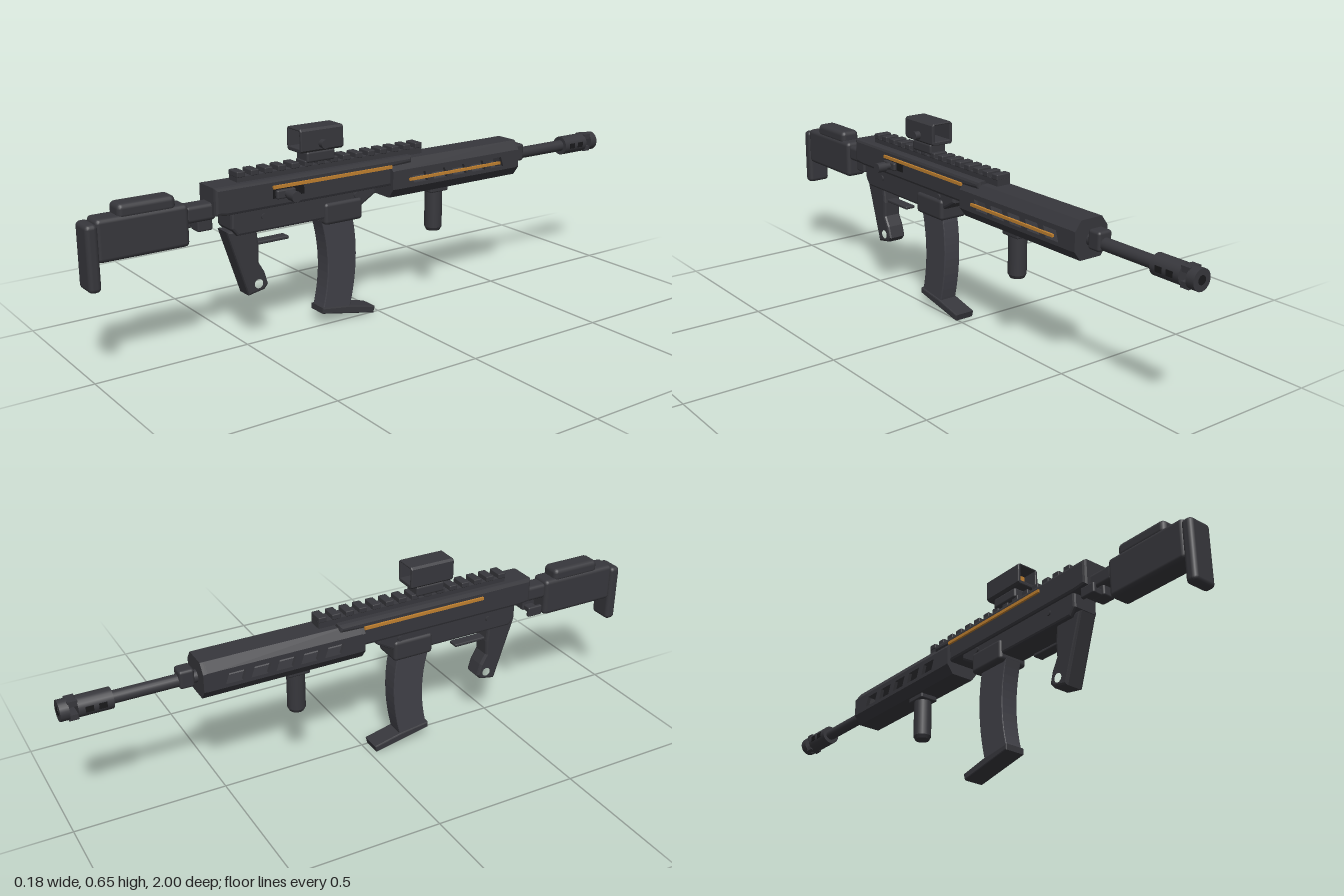
import * as THREE from 'three';
import { RoundedBoxGeometry } from 'three/addons/geometries/RoundedBoxGeometry.js';

const CX = -0.027; // centre plane of the body

export function createModel() {
  const root = new THREE.Group();
  const mat = (name, color) => {
    const m = new THREE.MeshStandardMaterial({ color });
    m.name = name;
    return m;
  };
  const body = mat('gunmetal', 0x37373c);
  const grey = mat('lighter grey', 0x404047);
  const black = mat('recess black', 0x19191b);
  const gold = mat('gold trim', 0xc0802f);

  const add = (name, geo, m = body) => {
    const mesh = new THREE.Mesh(geo, m);
    mesh.name = name;
    root.add(mesh);
    return mesh;
  };
  // Box from its limits on each axis, optionally rounded
  const box = (name, [x0, x1], [y0, y1], [z0, z1], r = 0, m = body) => {
    const s = [x1 - x0, y1 - y0, z1 - z0];
    const g = r ? new RoundedBoxGeometry(...s, 2, r) : new THREE.BoxGeometry(...s);
    return add(name, g.translate((x0 + x1) / 2, (y0 + y1) / 2, (z0 + z1) / 2), m);
  };
  const toShape = pts => new THREE.Shape(pts.map(p => new THREE.Vector2(...p)));
  // Side outline in (z, y), extruded across x with bevelled edges
  const side = (name, shape, w, b = 0.01, m = body, cx = CX) => {
    const g = new THREE.ExtrudeGeometry(shape, {
      depth: w - 2 * b, bevelEnabled: b > 0, bevelSize: b, bevelThickness: b,
      bevelOffset: -b, bevelSegments: 2, curveSegments: 12,
    });
    g.translate(0, 0, -(w - 2 * b) / 2).rotateY(-Math.PI / 2).translate(cx, 0, 0);
    return add(name, g, m);
  };
  // Cylinders along z and along x
  const rodZ = (name, r, y, z0, z1, m = body, n = 20) => add(name,
    new THREE.CylinderGeometry(r, r, Math.abs(z1 - z0), n).rotateX(Math.PI / 2).translate(CX, y, (z0 + z1) / 2), m);
  const rodX = (name, r, x0, x1, y, z, m = body, n = 16) => add(name,
    new THREE.CylinderGeometry(r, r, x1 - x0, n).rotateZ(Math.PI / 2).translate((x0 + x1) / 2, y, z), m);

  // Stock
  box('buttPlate', [-0.069, 0.014], [0.272, 0.473], [0.962, 1], 0.014);
  box('stock', [-0.065, 0.011], [0.355, 0.484], [0.682, 0.968], 0.014);
  box('cheekRest', [-0.062, 0.008], [0.47, 0.517], [0.72, 0.9], 0.016);
  box('bufferTube', [-0.057, 0.003], [0.42, 0.473], [0.59, 0.69], 0.012);
  box('stockLatch', [-0.05, -0.004], [0.388, 0.43], [0.6, 0.65], 0.006);
  box('slingMount', [-0.092, -0.078], [0.382, 0.417], [0.595, 0.65], 0.005);
  box('slingArm', [-0.085, -0.04], [0.39, 0.41], [0.605, 0.64], 0.004);

  // Receiver
  side('upperReceiver', toShape([[0.605, 0.435], [0.605, 0.52], [-0.12, 0.52], [-0.12, 0.495],
    [-0.04, 0.49], [-0.04, 0.43], [0.56, 0.43]]), 0.106, 0.01);
  side('lowerReceiver', toShape([[0.55, 0.44], [0.55, 0.385], [0.53, 0.36], [0.2, 0.36],
    [0.08, 0.38], [0.02, 0.415], [0.02, 0.44]]), 0.092, 0.008);
  box('magazineWell', [-0.08, 0.027], [0.34, 0.412], [0.078, 0.222], 0.012);
  for (const s of [-1, 1]) {
    const x = CX + s * 0.056;
    box('receiverStripe', [x - 0.004, x + 0.004], [0.49, 0.5], [-0.035, 0.41], 0, gold);
    for (const [z, y] of [[0.44, 0.408], [0.1, 0.42]]) {
      rodX('pin', 0.009, CX + s * 0.047 - 0.004, CX + s * 0.047 + 0.004, y, z);
    }
  }

  // Charging handle on the left side
  box('ejectionPort', [0.02, 0.029], [0.46, 0.488], [0.3, 0.41], 0, black);
  box('handleBase', [0.02, 0.04], [0.458, 0.486], [0.335, 0.402], 0.005);
  rodX('chargingHandle', 0.012, 0.03, 0.065, 0.472, 0.365);
  rodX('chargingKnob', 0.017, 0.058, 0.091, 0.472, 0.365);

  // Grip with a through hole, and trigger guard
  const grip = toShape([[0.56, 0.375], [0.49, 0.158], [0.435, 0.168], [0.42, 0.185], [0.432, 0.225],
    [0.452, 0.26], [0.45, 0.31], [0.457, 0.375]]);
  const hole = new THREE.Path();
  hole.absarc(0.456, 0.192, 0.023, 0, Math.PI * 2, true);
  grip.holes.push(hole);
  side('grip', grip, 0.066, 0.008);
  box('triggerGuard', [-0.045, -0.008], [0.311, 0.322], [0.335, 0.47], 0.004);

  // Curved magazine and angled foot
  const mag = new THREE.Shape();
  mag.moveTo(0.222, 0.35);
  mag.quadraticCurveTo(0.178, 0.2, 0.222, 0.045);
  mag.lineTo(0.12, 0.025);
  mag.quadraticCurveTo(0.07, 0.2, 0.104, 0.35);
  side('magazine', mag, 0.062, 0.003, grey);
  side('magazineFoot', toShape([[0.224, 0.06], [0.224, 0.04], [0.024, 0], [0.018, 0.022], [0.12, 0.046]]),
    0.072, 0.004);

  // Handguard: octagonal hollow shell with windowed side walls
  const alongZ = (name, pts, z0, z1) => add(name, new THREE.ExtrudeGeometry(toShape(pts),
    { depth: z1 - z0, bevelEnabled: false }).translate(CX, 0, z0));
  const MID = 0.449;
  const trough = [[-0.063, 0.03], [-0.04, 0.061], [0.04, 0.061], [0.063, 0.03], [0.052, 0.03],
    [0.035, 0.05], [-0.035, 0.05], [-0.052, 0.03]];
  const octagon = [[-0.063, 0.03], [-0.04, 0.061], [0.04, 0.061], [0.063, 0.03],
    [0.063, -0.03], [0.04, -0.061], [-0.04, -0.061], [-0.063, -0.03]];
  alongZ('handguardTop', trough.map(([x, y]) => [x, MID + y]), -0.57, -0.045);
  alongZ('handguardBottom', trough.map(([x, y]) => [x, MID - y]), -0.57, -0.045);
  for (const [z0, z1] of [[-0.58, -0.565], [-0.05, -0.035]]) {
    alongZ('handguardCap', octagon.map(([x, y]) => [x, MID + y]), z0, z1);
  }
  for (const s of [-1, 1]) {
    const wall = toShape([[-0.57, 0.418], [-0.045, 0.418], [-0.045, 0.48], [-0.57, 0.48]]);
    for (let i = 0; i < 5; i++) {
      const a = -0.51 + i * 0.083, b = a + 0.068;
      wall.holes.push(new THREE.Path([[a, 0.43], [a + 0.012, 0.464], [b, 0.464], [b - 0.012, 0.43]]
        .map(p => new THREE.Vector2(...p))));
    }
    side('handguardWall', wall, 0.012, 0, body, CX + s * 0.057);
  }
  box('handguardStripe', [0.035, 0.043], [0.441, 0.45], [-0.49, -0.1], 0, gold);

  // Vertical foregrip
  add('foregrip', new THREE.CylinderGeometry(0.03, 0.03, 0.145, 20).translate(CX, 0.318, -0.252));
  add('foregripEnd', new THREE.CylinderGeometry(0.03, 0.024, 0.012, 20).translate(CX, 0.24, -0.252));
  box('foregripMount', [-0.06, 0.006], [0.372, 0.395], [-0.29, -0.215], 0.005);

  // Barrel, gas block and muzzle brake with a cross vent
  rodZ('barrel', 0.02, 0.447, -0.57, -0.86);
  box('gasBlock', [-0.053, -0.001], [0.425, 0.486], [-0.64, -0.592], 0.009);
  rodZ('muzzleBrake', 0.033, 0.447, -0.842, -0.947);
  rodZ('muzzleTip', 0.033, 0.447, -0.972, -1);
  rodZ('bore', 0.014, 0.447, -0.99, -1.001, black);
  for (const s of [-1, 1]) {
    box('ventBridge', [CX - 0.022, CX + 0.022], [0.447 + s * 0.022 - 0.009, 0.447 + s * 0.022 + 0.009], [-0.975, -0.945]);
    for (const z of [-0.875, -0.915]) {
      const x = CX + s * 0.031;
      box('muzzleSlot', [x - 0.003, x + 0.003], [0.438, 0.456], [z - 0.012, z + 0.012], 0, black);
    }
  }

  // Top rail
  box('railBase', [-0.052, -0.002], [0.515, 0.536], [-0.18, 0.515]);
  for (let i = 0; i < 15; i++) {
    const z = -0.166 + i * 0.0477;
    box('railTooth', [-0.054, 0], [0.534, 0.552], [z - 0.014, z + 0.014], 0.003);
  }

  // Optic: open housing with a floating reticle
  box('opticMount', [-0.06, 0.005], [0.545, 0.58], [0.168, 0.272], 0.007);
  const frame = toShape([[-0.034, 0.58], [0.034, 0.58], [0.041, 0.587], [0.041, 0.648],
    [0.034, 0.655], [-0.034, 0.655], [-0.041, 0.648], [-0.041, 0.587]]);
  frame.holes.push(new THREE.Path([[-0.03, 0.594], [-0.03, 0.648], [0.03, 0.648], [0.03, 0.594]]
    .map(p => new THREE.Vector2(...p))));
  add('opticHousing', new THREE.ExtrudeGeometry(frame, { depth: 0.15, bevelThickness: 0.004,
    bevelSize: 0.003, bevelOffset: -0.003, bevelSegments: 2 }).translate(CX, 0, 0.146));
  box('reticle', [-0.038, -0.016], [0.61, 0.632], [0.262, 0.27], 0, gold);
  rodX('opticKnob', 0.014, 0.01, 0.033, 0.604, 0.222);

  return root;
}
